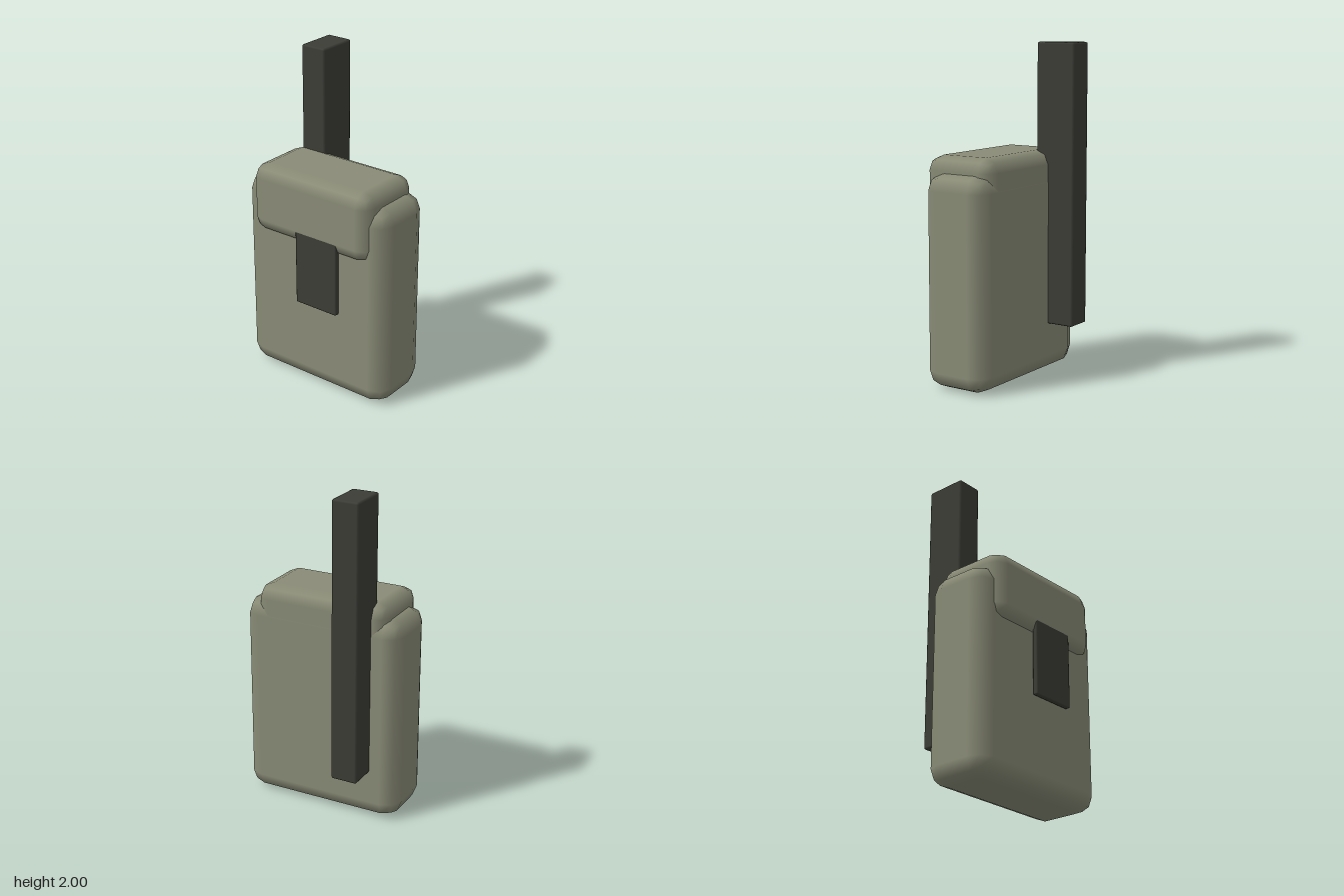
import * as THREE from 'three';

// Box given by its min and max corners, with every edge rounded in two segments.
function bevelBox(min, max, r) {
  const lo = new THREE.Vector3(...min), hi = new THREE.Vector3(...max);
  const centre = lo.clone().add(hi).multiplyScalar(0.5);
  const core = hi.clone().sub(lo).multiplyScalar(0.5).subScalar(r);
  const g = new THREE.BoxGeometry(3, 3, 3, 3, 3, 3);
  const pos = g.attributes.position, nor = g.attributes.normal;
  const p = new THREE.Vector3(), dir = new THREE.Vector3();
  for (let i = 0; i < pos.count; i++) {
    p.fromBufferAttribute(pos, i);
    for (const a of ['x', 'y', 'z']) {
      dir[a] = Math.abs(p[a]) > 1 ? Math.sign(p[a]) : 0;
      p[a] = Math.sign(p[a]) * core[a] + centre[a];
    }
    dir.normalize();
    p.addScaledVector(dir, r);
    pos.setXYZ(i, p.x, p.y, p.z);
    nor.setXYZ(i, dir.x, dir.y, dir.z);
  }
  return g;
}

export function createModel() {
  const canvas = new THREE.MeshStandardMaterial({ color: 0x8a8c77 });
  canvas.name = 'olive canvas';
  const dark = new THREE.MeshStandardMaterial({ color: 0x3d3d37 });
  dark.name = 'dark trim';

  const group = new THREE.Group();
  group.name = 'pouch';
  const add = (name, material, min, max, r) => {
    const mesh = new THREE.Mesh(bevelBox(min, max, r), material);
    mesh.name = name;
    group.add(mesh);
  };

  // Pouch body and the flap folded over its top
  add('pouchBody', canvas, [-0.275, 0, -0.51], [0.15, 1.27, 0.51], 0.104);
  add('flap', canvas, [-0.32, 0.935, -0.425], [0.147, 1.36, 0.425], 0.085);
  // Closing strap hanging from under the flap
  add('closureStrap', dark, [-0.317, 0.555, -0.09], [-0.284, 1.1, 0.205], 0.007);
  // Tall bar carried on the other side
  add('tallBar', dark, [0.065, 0.305, -0.34], [0.32, 2, -0.175], 0.012);
  return group;
}
